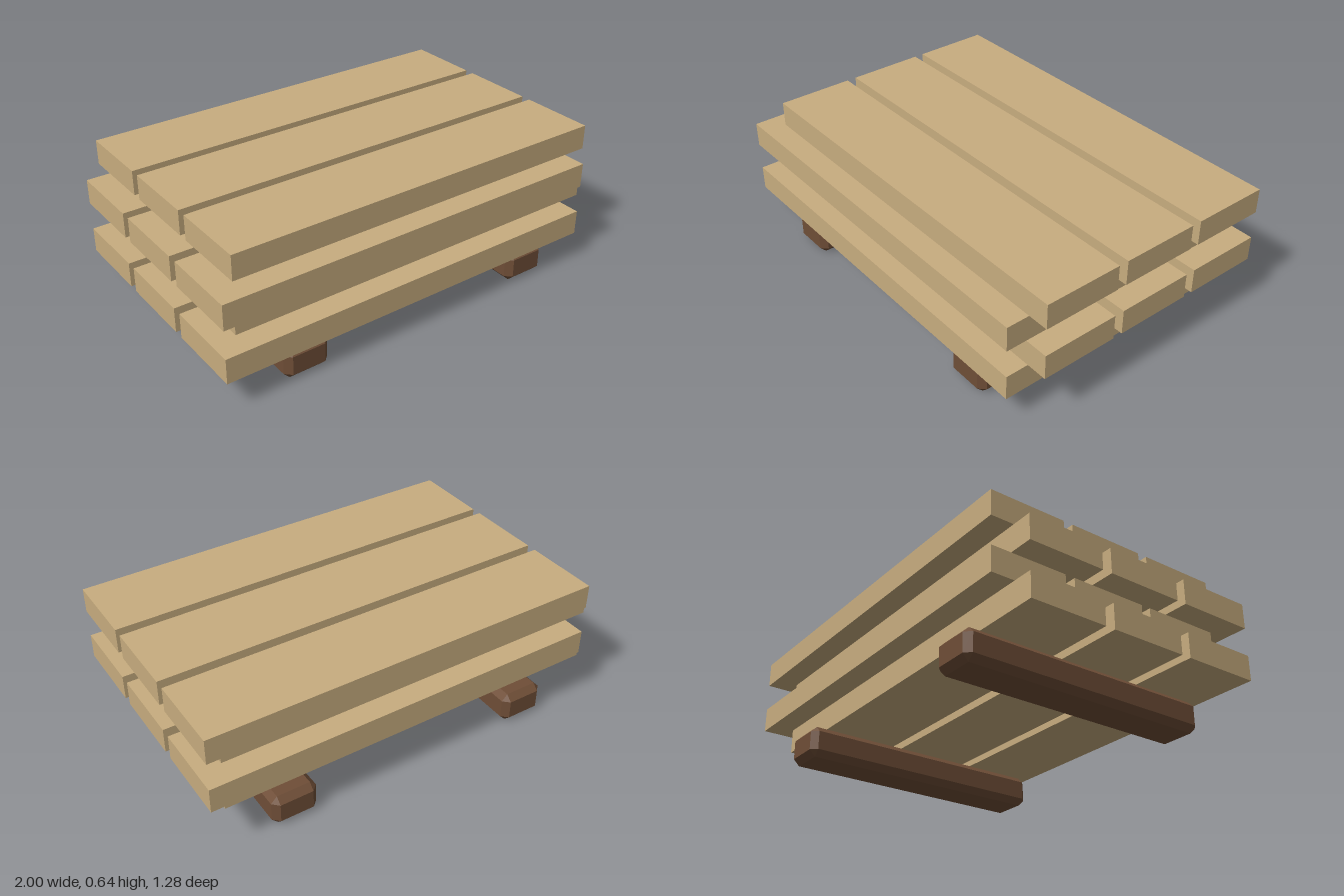
import * as THREE from 'three';
import { ConvexGeometry } from 'three/addons/geometries/ConvexGeometry.js';

// Box with every edge and corner cut at 45 degrees
function chamferedBox(w, h, d, c) {
  const points = [];
  for (const sx of [-1, 1]) for (const sy of [-1, 1]) for (const sz of [-1, 1]) {
    for (let axis = 0; axis < 3; axis++) {
      const cut = [c, c, c];
      cut[axis] = 0;
      points.push(new THREE.Vector3(
        sx * (w / 2 - cut[0]), sy * (h / 2 - cut[1]), sz * (d / 2 - cut[2])));
    }
  }
  return new ConvexGeometry(points);
}

export function createModel() {
  const model = new THREE.Group();
  model.name = 'plankStack';

  const paleWood = new THREE.MeshStandardMaterial({ color: 0xc8ad7f });
  paleWood.name = 'pale wood';
  const darkWood = new THREE.MeshStandardMaterial({ color: 0x6f4e37 });
  darkWood.name = 'dark wood';

  // Two chamfered bearers under the stack
  const bearerGeometry = chamferedBox(0.215, 0.147, 1.24, 0.029);
  for (const side of [-1, 1]) {
    const bearer = new THREE.Mesh(bearerGeometry, darkWood);
    bearer.name = side < 0 ? 'rightBearer' : 'leftBearer';
    bearer.position.set(side * 0.607, 0.0735, 0);
    model.add(bearer);
  }

  // Four layers of three planks, shifted alternately in x and z
  const plankGeometry = new THREE.BoxGeometry(1.895, 0.117, 0.363);
  for (let layer = 0; layer < 4; layer++) {
    const shift = layer % 2 ? 1 : -1;
    const group = new THREE.Group();
    group.name = `plankLayer${layer + 1}`;
    group.position.set(shift * 0.0525, 0.2055 + layer * 0.1245, -shift * 0.051);
    for (let i = -1; i <= 1; i++) {
      const plank = new THREE.Mesh(plankGeometry, paleWood);
      plank.name = `plank${i + 2}`;
      plank.position.z = i * 0.409;
      group.add(plank);
    }
    model.add(group);
  }

  return model;
}
